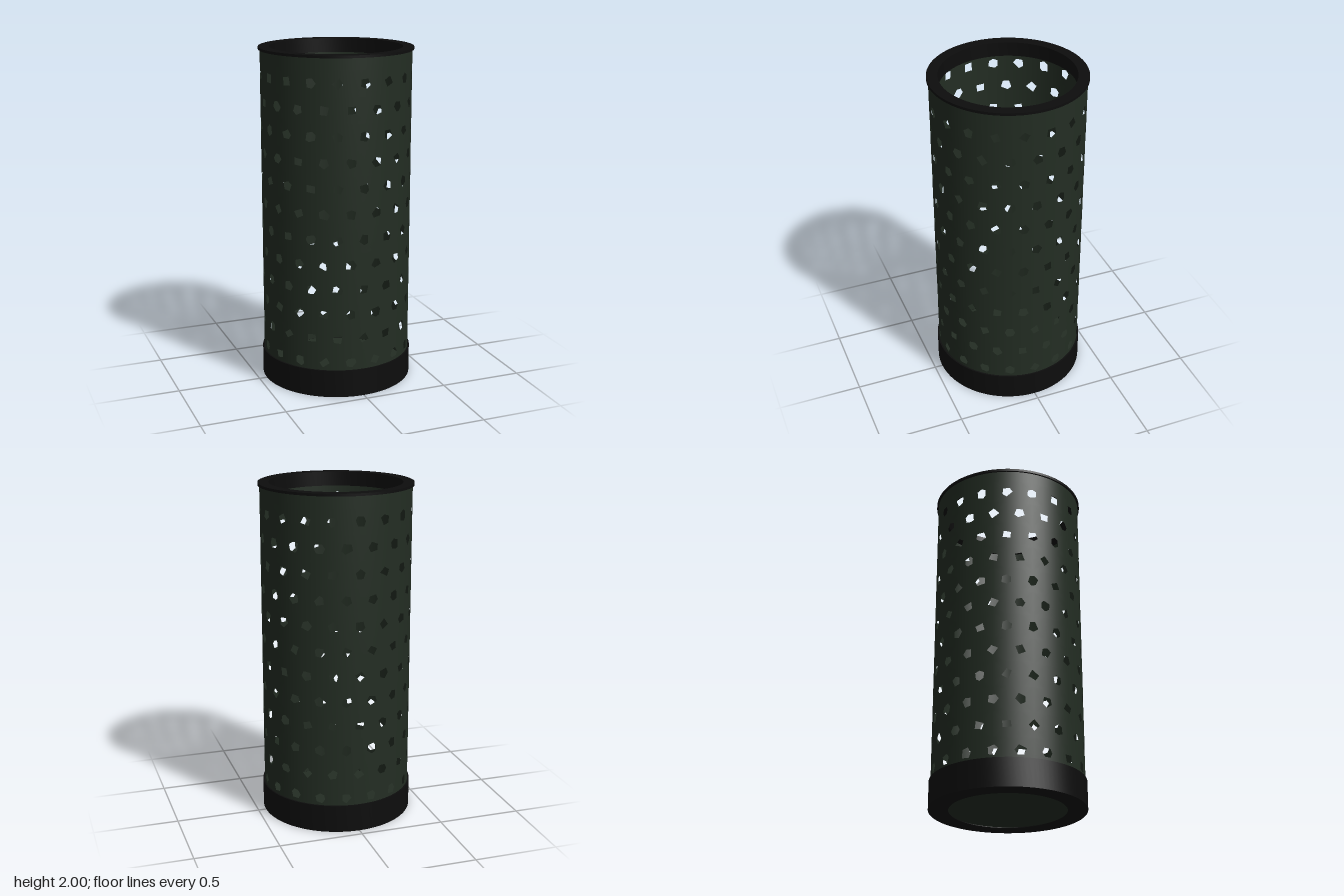
import * as THREE from 'three';
import { toCreasedNormals } from 'three/addons/utils/BufferGeometryUtils.js';

const R = 0.442;            // radius of the perforated wall
const COLS = 18, ROWS = 12; // staggered hole pattern
const FIRST = 0.21, PITCH = 0.1485;
const STEPS = 6;            // border points per side of a cell
const N = STEPS * 4;
const HALF = Math.PI / COLS;

// Small seeded generator for the irregular hole outlines
let seed = 7;
function rnd() {
  seed = (seed * 16807) % 2147483647;
  return seed / 2147483647;
}

// Points around a cell border, counter-clockwise, from -1 to 1
function border(k) {
  const side = Math.floor(k / STEPS), t = -1 + (2 * (k % STEPS)) / STEPS;
  return [[1, t], [-t, 1], [-1, -t], [t, -1]][side];
}

// Rough polygonal hole: a few corners, straight edges between them
function holeOutline() {
  const sides = rnd() < 0.3 ? 4 : rnd() < 0.6 ? 5 : 6;
  const shift = rnd() * N;
  const ids = [], pts = [];
  for (let c = 0; c < sides; c++) {
    ids.push(Math.round((c * N) / sides + shift + (rnd() - 0.5) * 1.5));
    const [u, v] = border(ids[c] % N), r = 0.029 + rnd() * 0.006, l = Math.hypot(u, v);
    pts.push([(u / l) * r, (v / l) * r]);
  }
  const out = [];
  for (let c = 0; c < sides; c++) {
    const a = pts[c], b = pts[(c + 1) % sides];
    const end = c + 1 < sides ? ids[c + 1] : ids[0] + N;
    for (let k = ids[c]; k < end; k++) {
      const f = (k - ids[c]) / (end - ids[c]);
      out[k % N] = [a[0] + (b[0] - a[0]) * f, a[1] + (b[1] - a[1]) * f];
    }
  }
  return out;
}

// Wall made of bent square cells, each with one hole
function perforatedWall() {
  const pos = [], nor = [], idx = [];
  const put = (angle, y) => {
    pos.push(R * Math.sin(angle), y, R * Math.cos(angle));
    nor.push(Math.sin(angle), 0, Math.cos(angle));
  };
  for (let row = 0; row < ROWS; row++) {
    for (let col = 0; col < COLS; col++) {
      const mid = (col * 2 + (row % 2 ? 0 : 1)) * HALF;
      const y = FIRST + row * PITCH;
      const base = pos.length / 3, hole = holeOutline();
      for (let k = 0; k < N; k++) {
        const [u, v] = border(k);
        put(mid + hole[k][0] / R, y + hole[k][1]);
        put(mid + u * HALF, y + (v * PITCH) / 2);
      }
      for (let k = 0; k < N; k++) {
        const a = base + 2 * k, b = base + 2 * ((k + 1) % N);
        idx.push(a, a + 1, b + 1, a, b + 1, b);
      }
    }
  }
  const g = new THREE.BufferGeometry();
  g.setAttribute('position', new THREE.Float32BufferAttribute(pos, 3));
  g.setAttribute('normal', new THREE.Float32BufferAttribute(nor, 3));
  g.setIndex(idx);
  return g;
}

// Plain open band of wall between two heights
function band(y0, y1) {
  return new THREE.CylinderGeometry(R, R, y1 - y0, COLS * STEPS, 1, true)
    .translate(0, (y0 + y1) / 2, 0);
}

// Closed ring turned from a profile of [radius, height] points
function ring(profile) {
  const pts = [...profile, profile[0]].map(([r, y]) => new THREE.Vector2(r, y));
  return toCreasedNormals(new THREE.LatheGeometry(pts, 96), Math.PI / 6);
}

export function createModel() {
  const green = new THREE.MeshStandardMaterial({ color: 0x232d23, side: THREE.DoubleSide });
  green.name = 'dark green';
  const black = new THREE.MeshStandardMaterial({ color: 0x0d0d0d });
  black.name = 'black';

  const model = new THREE.Group();
  model.name = 'perforatedHolder';
  const add = (name, geometry, material) => {
    const mesh = new THREE.Mesh(geometry, material);
    mesh.name = name;
    model.add(mesh);
  };

  const low = FIRST - PITCH / 2, high = FIRST + (ROWS - 0.5) * PITCH;
  add('perforatedWall', perforatedWall(), green);
  add('lowerWall', band(0.02, low), green);
  add('upperWall', band(high, 1.985), green);
  add('floor', new THREE.CylinderGeometry(0.44, 0.44, 0.016, 96).translate(0, 0.012, 0), green);

  // Rim: thin outer lip with a collar reaching down inside the wall
  add('topRim', ring([
    [0.436, 1.985], [0.452, 1.985], [0.452, 2], [0.388, 2], [0.388, 1.915], [0.436, 1.915],
  ]), black);

  // Base: sleeve around the wall with a flat lip underneath
  add('baseRing', ring([
    [0.338, 0], [0.452, 0], [0.452, 0.165], [0.443, 0.165], [0.443, 0.004], [0.338, 0.004],
  ]), black);

  return model;
}
